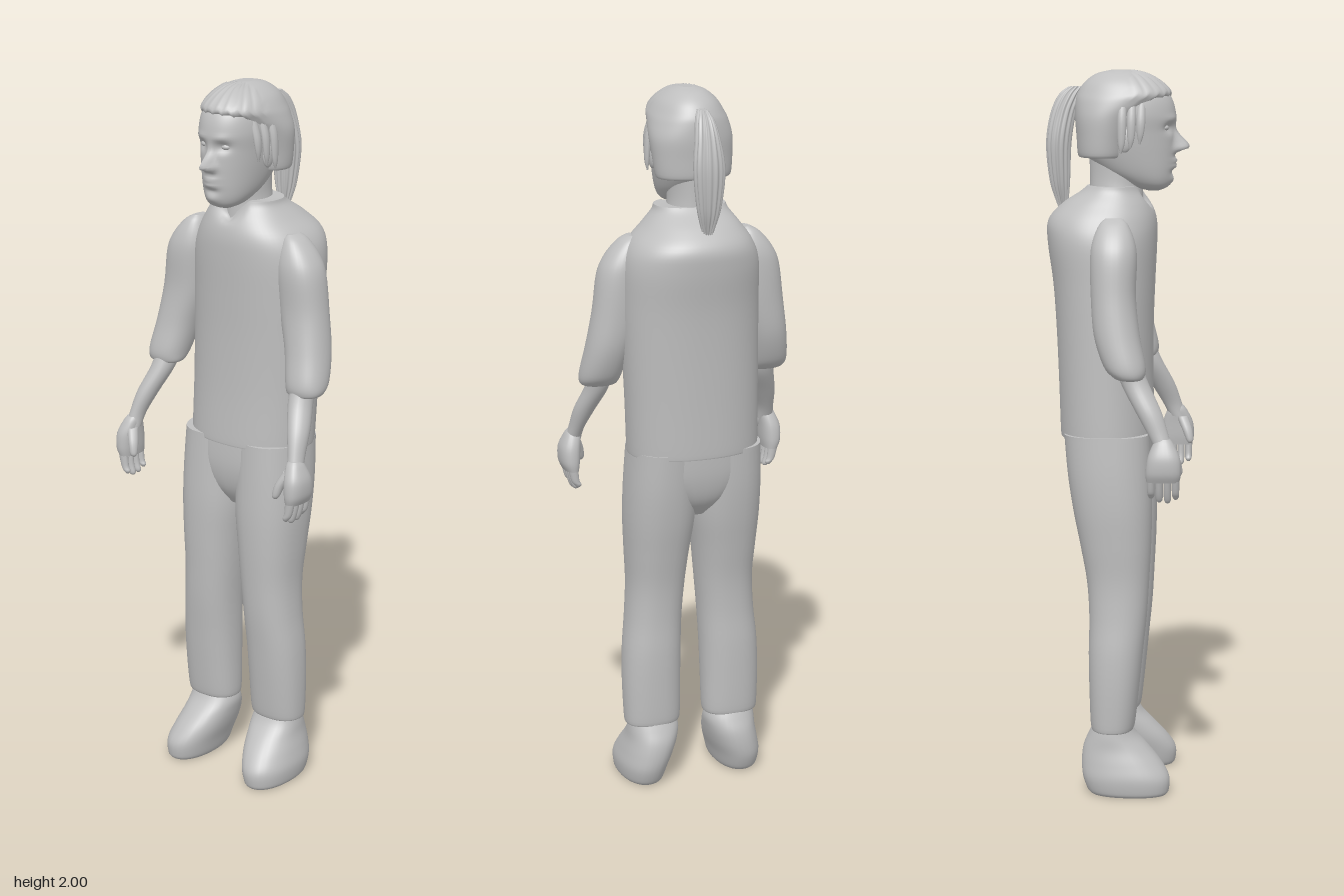
import * as THREE from 'three';

const grey = new THREE.MeshStandardMaterial({ color: 0xbfbfbf });
grey.name = 'plain grey';

const bell = (d, s) => Math.exp(-(d * d) / (s * s));
const mirror = (sections) => sections.map(([y, x0, x1, z0, z1]) => [y, -x1, -x0, z0, z1]);

// Smooth body through horizontal cross-sections [y, xMin, xMax, zMin, zMax], bottom to top.
function loft(name, sections, { segs = 32, steps = 5, power = 2, shape } = {}) {
  const pos = [], index = [];
  const n = sections.length, rows = (n - 1) * steps + 1;
  const sample = (r, c) => {
    const i = Math.min(Math.floor(r / steps), n - 2), t = r / steps - i;
    const at = (k) => sections[Math.max(0, Math.min(n - 1, k))][c];
    const [a, b, d, e] = [at(i - 1), at(i), at(i + 1), at(i + 2)];
    return b + 0.5 * t * (d - a + t * (2 * a - 5 * b + 4 * d - e + t * (3 * (b - d) + e - a)));
  };
  const bend = (v) => Math.sign(v) * Math.abs(v) ** (2 / power);
  const p = new THREE.Vector3();
  for (let r = 0; r < rows; r++) {
    const [y, x0, x1, z0, z1] = [0, 1, 2, 3, 4].map((c) => sample(r, c));
    for (let j = 0; j < segs; j++) {
      const a = (j / segs) * Math.PI * 2;
      p.set((x0 + x1) / 2 + bend(Math.cos(a)) * (x1 - x0) / 2, y,
        (z0 + z1) / 2 + bend(Math.sin(a)) * (z1 - z0) / 2);
      if (shape) shape(p, a);
      pos.push(p.x, p.y, p.z);
    }
  }
  for (let r = 0; r < rows - 1; r++) {
    for (let j = 0; j < segs; j++) {
      const k = (j + 1) % segs, a = r * segs + j, b = r * segs + k;
      index.push(a, a + segs, b, b, a + segs, b + segs);
    }
  }
  // end caps with their own corners, so the rims stay sharp
  for (const top of [false, true]) {
    const from = (top ? rows - 1 : 0) * segs, base = pos.length / 3;
    const c = [0, 0, 0];
    for (let j = 0; j < segs; j++) {
      for (let k = 0; k < 3; k++) {
        const v = pos[(from + j) * 3 + k];
        pos.push(v);
        c[k] += v / segs;
      }
    }
    pos.push(...c);
    for (let j = 0; j < segs; j++) {
      const a = base + j, b = base + (j + 1) % segs;
      if (top) index.push(base + segs, b, a); else index.push(base + segs, a, b);
    }
  }
  const geo = new THREE.BufferGeometry();
  geo.setAttribute('position', new THREE.Float32BufferAttribute(pos, 3));
  geo.setIndex(index);
  geo.computeVertexNormals();
  const mesh = new THREE.Mesh(geo, grey);
  mesh.name = name;
  return mesh;
}

function ball(name, x, y, z, sx, sy, sz) {
  const mesh = new THREE.Mesh(new THREE.SphereGeometry(1, 20, 14), grey);
  mesh.name = name;
  mesh.position.set(x, y, z);
  mesh.scale.set(sx, sy, sz);
  return mesh;
}

// Nose, eye sockets, brows, lips and chin pushed out of the front of the head
function faceShape(p) {
  if (p.z < 0.06) return;
  const x = p.x - 0.01, y = p.y;
  let d = 0.041 * bell(x, 0.007 + 0.3 * Math.max(0, 1.835 - y) * 0.6) * bell(y - 1.79, y < 1.79 ? 0.011 : 0.034);
  for (const s of [-1, 1]) {
    d += 0.008 * bell(x - s * 0.013, 0.007) * bell(y - 1.785, 0.009);
    d -= 0.013 * bell(x - s * 0.035, 0.019) * bell(y - 1.843, 0.014);
    d += 0.004 * bell(x - s * 0.035, 0.024) * bell(y - 1.867, 0.009);
  }
  d += 0.009 * bell(x, 0.022) * (bell(y - 1.754, 0.007) + bell(y - 1.738, 0.007));
  d -= 0.005 * bell(x, 0.02) * bell(y - 1.722, 0.008);
  d += 0.006 * bell(x, 0.022) * bell(y - 1.7, 0.012);
  p.z += d;
}

function buildHead() {
  const head = new THREE.Group();
  head.name = 'head';
  head.add(loft('neck', [
    [1.62, -0.06, 0.08, -0.08, 0.07], [1.68, -0.048, 0.068, -0.078, 0.068],
    [1.72, -0.045, 0.065, -0.078, 0.075], [1.78, -0.045, 0.065, -0.08, 0.07]]));
  head.add(loft('face', [
    [1.672, -0.012, 0.032, 0.08, 0.115], [1.682, -0.033, 0.053, 0.04, 0.136],
    [1.7, -0.048, 0.068, 0.0, 0.146], [1.73, -0.06, 0.08, -0.05, 0.152],
    [1.78, -0.071, 0.091, -0.095, 0.155], [1.83, -0.078, 0.098, -0.108, 0.155],
    [1.88, -0.083, 0.103, -0.112, 0.158], [1.93, -0.077, 0.097, -0.105, 0.142],
    [1.97, -0.055, 0.075, -0.075, 0.1], [1.988, -0.025, 0.045, -0.04, 0.06]],
  { segs: 96, steps: 8, power: 2.15, shape: faceShape }));
  for (const s of [-1, 1]) {
    head.add(ball('eye', 0.01 + s * 0.034, 1.843, 0.128, 0.015, 0.009, 0.013));
    head.add(ball('ear', 0.01 + s * 0.092, 1.81, 0.025, 0.01, 0.032, 0.02));
    // loose strands beside the face
    for (let i = 0; i < 3; i++) {
      const x = 0.093 + 0.008 * i, z = 0.07 - 0.025 * i, low = 1.8 - 0.012 * i;
      const lock = [
        [low, x - 0.002, x + 0.002, z - 0.006, z - 0.002], [low + 0.03, x - 0.006, x + 0.008, z - 0.012, z + 0.008],
        [1.87, x - 0.014, x + 0.006, z - 0.014, z + 0.012], [1.93, x - 0.03, x - 0.014, z - 0.012, z + 0.01]];
      const strand = loft('hairStrand', s > 0 ? lock : mirror(lock), { segs: 10 });
      strand.position.x = 0.01;
      head.add(strand);
    }
  }
  head.add(loft('hairCap', [
    [1.762, -0.085, 0.105, -0.1, 0.02], [1.77, -0.095, 0.115, -0.11, 0.028],
    [1.82, -0.1, 0.122, -0.114, 0.04], [1.87, -0.102, 0.126, -0.118, 0.065],
    [1.91, -0.097, 0.119, -0.117, 0.115], [1.935, -0.088, 0.11, -0.111, 0.146],
    [1.965, -0.068, 0.09, -0.092, 0.121], [1.988, -0.04, 0.06, -0.06, 0.08],
    [1.998, -0.012, 0.032, -0.02, 0.035]],
  { segs: 72, power: 2.1, shape: (p, a) => { if (p.z > 0.04) p.y += 0.003 * Math.sin(a * 23); } }));
  // ponytail with ribbed strands
  head.add(loft('ponytail', [
    [1.6, 0.008, 0.016, -0.154, -0.148], [1.64, -0.004, 0.028, -0.17, -0.14],
    [1.7, -0.02, 0.043, -0.188, -0.135], [1.8, -0.03, 0.053, -0.197, -0.131],
    [1.88, -0.02, 0.044, -0.185, -0.118], [1.93, -0.009, 0.034, -0.163, -0.1],
    [1.953, 0.002, 0.022, -0.135, -0.09]],
  { segs: 72, shape: (p, a) => {
    p.x += 0.0025 * Math.cos(a * 14) * Math.cos(a);
    p.z += 0.0025 * Math.cos(a * 14) * Math.sin(a);
  } }));
  return head;
}

function buildArm(side) {
  const arm = new THREE.Group();
  arm.name = side > 0 ? 'leftArm' : 'rightArm';
  arm.position.x = 0.006;
  const add = (name, s, opts) => arm.add(loft(name, side > 0 ? s : mirror(s), opts));
  add('sleeve', [
    [1.182, 0.205, 0.285, 0.025, 0.085], [1.19, 0.195, 0.3, 0.008, 0.093],
    [1.22, 0.187, 0.304, -0.018, 0.095], [1.3, 0.168, 0.292, -0.045, 0.078],
    [1.4, 0.14, 0.276, -0.055, 0.066], [1.5, 0.13, 0.262, -0.058, 0.068],
    [1.55, 0.133, 0.24, -0.052, 0.06], [1.59, 0.144, 0.205, -0.036, 0.042],
    [1.606, 0.155, 0.178, -0.02, 0.025]], { power: 2.2 });
  add('forearm', [
    [1.0, 0.27, 0.315, 0.125, 0.172], [1.04, 0.265, 0.308, 0.105, 0.16],
    [1.1, 0.242, 0.3, 0.07, 0.14], [1.17, 0.215, 0.28, 0.03, 0.105],
    [1.23, 0.21, 0.275, 0.01, 0.08]], { segs: 24 });
  add('palm', [
    [0.915, 0.282, 0.322, 0.102, 0.19], [0.94, 0.278, 0.332, 0.1, 0.195],
    [0.98, 0.275, 0.332, 0.105, 0.192], [1.015, 0.272, 0.318, 0.118, 0.176],
    [1.03, 0.275, 0.308, 0.128, 0.165]], { segs: 24, power: 2.4 });
  // four fingers in a row, curling inward
  for (let i = 0; i < 4; i++) {
    const z = 0.114 + i * 0.022, tip = 0.852 + 0.01 * Math.abs(i - 1.6);
    add('finger', [
      [tip, 0.284, 0.294, z - 0.004, z + 0.004], [tip + 0.008, 0.28, 0.301, z - 0.009, z + 0.009],
      [0.89, 0.286, 0.31, z - 0.01, z + 0.01], [0.94, 0.29, 0.322, z - 0.011, z + 0.011]], { segs: 12 });
  }
  add('thumb', [
    [0.925, 0.253, 0.262, 0.182, 0.19], [0.935, 0.248, 0.27, 0.175, 0.196],
    [0.965, 0.253, 0.281, 0.162, 0.192], [1.0, 0.268, 0.3, 0.145, 0.178]], { segs: 12 });
  return arm;
}

function buildLeg(side) {
  const leg = new THREE.Group();
  leg.name = side > 0 ? 'leftLeg' : 'rightLeg';
  leg.position.x = 0.003;
  const add = (name, s, opts) => leg.add(loft(name, side > 0 ? s : mirror(s), opts));
  add('trouserLeg', [
    [0.18, 0.045, 0.195, -0.058, 0.05], [0.195, 0.038, 0.2, -0.065, 0.058],
    [0.3, 0.036, 0.203, -0.069, 0.07], [0.4, 0.034, 0.2, -0.071, 0.08],
    [0.5, 0.03, 0.19, -0.07, 0.09], [0.6, 0.022, 0.185, -0.077, 0.096],
    [0.7, 0.012, 0.19, -0.095, 0.101], [0.8, 0.0, 0.195, -0.115, 0.103],
    [0.9, -0.002, 0.194, -0.13, 0.1], [1.01, -0.003, 0.188, -0.14, 0.095]], { power: 2.3 });
  add('shoe', [
    [0.0, 0.092, 0.2, -0.06, 0.148], [0.012, 0.083, 0.208, -0.072, 0.155],
    [0.05, 0.072, 0.212, -0.086, 0.156], [0.09, 0.058, 0.204, -0.09, 0.132],
    [0.13, 0.048, 0.194, -0.086, 0.096], [0.165, 0.044, 0.19, -0.072, 0.062],
    [0.2, 0.055, 0.185, -0.055, 0.042]], { power: 2.2 });
  return leg;
}

export function createModel() {
  const model = new THREE.Group();
  model.name = 'standingFigure';
  // shirt with sloping shoulders and a notch at the front of the collar
  model.add(loft('shirt', [
    [1.0, -0.176, 0.192, -0.155, 0.1], [1.012, -0.178, 0.194, -0.158, 0.102],
    [1.15, -0.176, 0.2, -0.163, 0.097], [1.3, -0.174, 0.208, -0.17, 0.097],
    [1.42, -0.172, 0.212, -0.179, 0.101], [1.53, -0.168, 0.21, -0.194, 0.106],
    [1.59, -0.148, 0.19, -0.193, 0.105], [1.635, -0.119, 0.146, -0.155, 0.092],
    [1.668, -0.096, 0.115, -0.105, 0.073], [1.685, -0.09, 0.108, -0.085, 0.066]],
  { segs: 64, power: 2.25, shape: (p) => {
    const rise = THREE.MathUtils.smoothstep(p.y, 1.61, 1.685);
    if (p.z > 0) p.y -= 0.045 * rise * Math.max(0, 1 - Math.abs(p.x - 0.01) / 0.055);
  } }));
  model.add(loft('trouserSeat', [
    [0.81, -0.03, 0.036, -0.07, 0.05], [0.86, -0.1, 0.106, -0.115, 0.082],
    [0.93, -0.165, 0.172, -0.136, 0.096], [1.02, -0.17, 0.18, -0.143, 0.094]], { power: 2.4 }));
  model.add(buildHead());
  for (const side of [-1, 1]) model.add(buildArm(side), buildLeg(side));
  return model;
}
